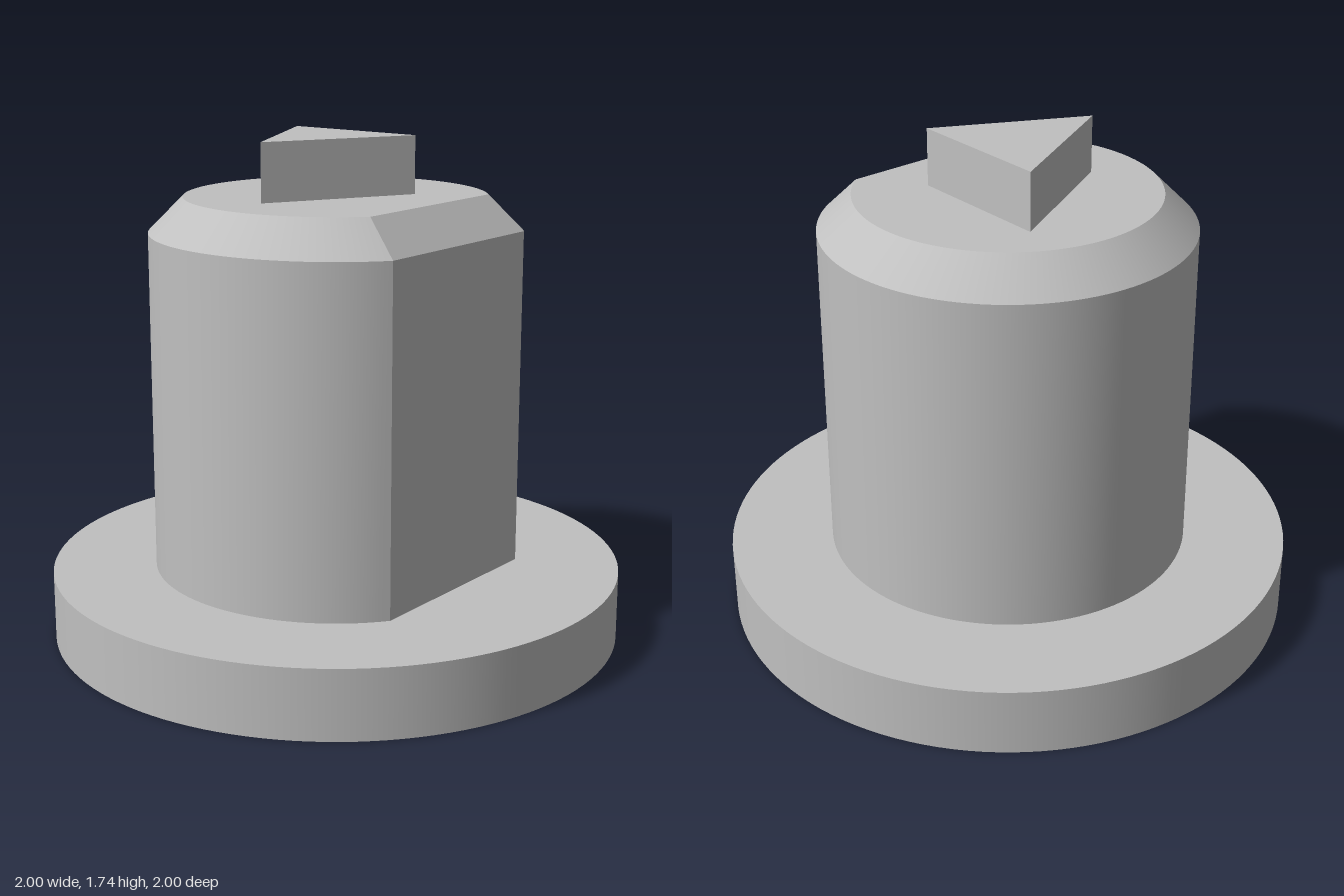
import * as THREE from 'three';
import { toCreasedNormals } from 'three/addons/utils/BufferGeometryUtils.js';

const ARC_STEPS = 96;

// D-shaped cross-section: a circle cut off by a flat on the front
function dSection(radius, flatZ, y) {
  const corner = Math.asin(flatZ / radius);
  const start = Math.PI - corner;
  const sweep = Math.PI + 2 * corner;
  return Array.from({ length: ARC_STEPS + 1 }, (_, i) => {
    const a = start + (sweep * i) / ARC_STEPS;
    return new THREE.Vector3(radius * Math.cos(a), y, radius * Math.sin(a));
  });
}

// Joins stacked sections with walls and closes the top
function loft(sections) {
  const points = [];
  const n = sections[0].length;
  for (let s = 0; s < sections.length - 1; s++) {
    const low = sections[s], high = sections[s + 1];
    for (let i = 0; i < n; i++) {
      const j = (i + 1) % n;
      points.push(low[i], high[i], low[j], low[j], high[i], high[j]);
    }
  }
  const top = sections[sections.length - 1];
  const centre = new THREE.Vector3(0, top[0].y, 0);
  for (let i = 0; i < n; i++) points.push(centre, top[(i + 1) % n], top[i]);
  return toCreasedNormals(new THREE.BufferGeometry().setFromPoints(points), 0.3);
}

export function createModel() {
  const model = new THREE.Group();
  const grey = new THREE.MeshStandardMaterial({ color: 0xc0c0c0 });
  grey.name = 'grey';

  const add = (name, geometry) => {
    const mesh = new THREE.Mesh(geometry, grey);
    mesh.name = name;
    model.add(mesh);
    return mesh;
  };

  // Round base flange
  add('baseFlange', new THREE.CylinderGeometry(1, 1, 0.24, 128)).position.y = 0.12;

  // Post with a front flat and a chamfered top edge
  add('post', loft([
    dSection(0.64, 0.52, 0.24),
    dSection(0.64, 0.52, 1.42),
    dSection(0.52, 0.4, 1.54),
  ]));

  // Raised triangular pointer, aimed to the model's right
  const triangle = new THREE.Shape([
    new THREE.Vector2(-0.32, 0.06),
    new THREE.Vector2(0.18, -0.2),
    new THREE.Vector2(0.18, 0.32),
  ]);
  const pointer = new THREE.ExtrudeGeometry(triangle, { depth: 0.2, bevelEnabled: false });
  add('pointer', pointer.rotateX(-Math.PI / 2).translate(0, 1.54, 0));

  return model;
}
